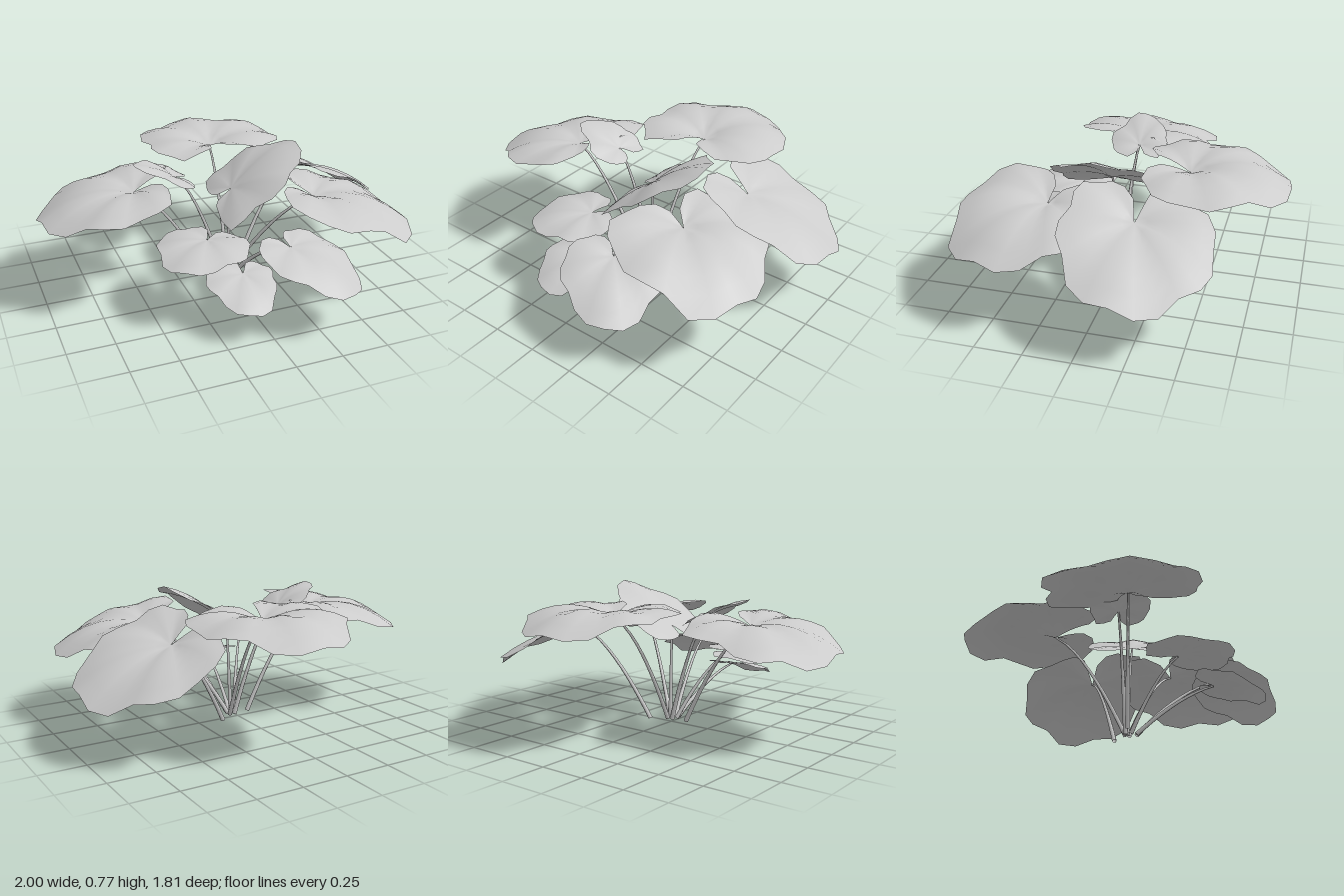
import * as THREE from 'three';

const SPREAD = THREE.MathUtils.degToRad(163); // the blade stops short of its notch
const SEGMENTS = 24, RINGS = 6;
const material = new THREE.MeshStandardMaterial({ color: 0xcccccc, side: THREE.DoubleSide });

// Heart-shaped blade: radii run round the stalk from one side of the notch to the other.
function bladeGeometry({ at, heading, slope, rise = 0.25, droop = 0.4, radii }) {
  const positions = [...at], indices = [];
  const size = Math.max(...radii);
  const perStep = SEGMENTS / (radii.length - 1);
  for (let s = 0; s <= SEGMENTS; s++) {
    const i = Math.min(Math.floor(s / perStep), radii.length - 2);
    const edge = THREE.MathUtils.lerp(radii[i], radii[i + 1], s / perStep - i) * (s % 3 ? 1.02 : 0.96);
    const turn = THREE.MathUtils.lerp(-SPREAD, SPREAD, s / SEGMENTS);
    const angle = THREE.MathUtils.degToRad(heading) + turn;
    for (let k = 1; k <= RINGS; k++) {
      const r = edge * k / RINGS;
      const dx = r * Math.cos(angle), dz = r * Math.sin(angle);
      // tilt, cupped middle, drooping rim and soft pleats between the veins
      const y = at[1] + slope[0] * dx + slope[1] * dz + rise * r - droop * r * r / size
        + 0.035 * r * Math.cos(turn * 7);
      positions.push(at[0] + dx, y, at[2] + dz);
    }
  }
  for (let s = 0; s < SEGMENTS; s++) {
    const a = 1 + s * RINGS, b = a + RINGS;
    indices.push(0, b, a);
    for (let k = 0; k < RINGS - 1; k++) {
      indices.push(a + k, b + k, b + k + 1, a + k, b + k + 1, a + k + 1);
    }
  }
  const geometry = new THREE.BufferGeometry();
  geometry.setAttribute('position', new THREE.Float32BufferAttribute(positions, 3));
  geometry.setIndex(indices);
  geometry.computeVertexNormals();
  return geometry;
}

// Arching stalk that thins towards the blade.
function stalkGeometry(base, at) {
  const start = new THREE.Vector3(base[0], 0.01, base[1]);
  const end = new THREE.Vector3(...at);
  const bend = start.clone().lerp(end, 0.56).setY(at[1] * 0.84);
  const curve = new THREE.QuadraticBezierCurve3(start, bend, end);
  const steps = 10, sides = 6;
  const geometry = new THREE.TubeGeometry(curve, steps, 0.013, sides);
  const p = geometry.attributes.position, v = new THREE.Vector3();
  for (let i = 0; i < p.count; i++) {
    const t = Math.floor(i / (sides + 1)) / steps;
    const c = curve.getPointAt(t);
    v.fromBufferAttribute(p, i).sub(c).multiplyScalar(1 - 0.55 * t).add(c);
    p.setXYZ(i, v.x, Math.max(v.y, 0), v.z);
  }
  return geometry;
}

export function createModel() {
  const plant = new THREE.Group();
  plant.name = 'leafyPlant';

  function addLeaf(name, leaf) {
    const group = new THREE.Group();
    group.name = name;
    const blade = new THREE.Mesh(bladeGeometry(leaf), material);
    blade.name = 'blade';
    const stalk = new THREE.Mesh(stalkGeometry(leaf.base, leaf.at), material);
    stalk.name = 'stalk';
    group.add(blade, stalk);
    plant.add(group);
  }

  // Large outer leaves
  addLeaf('backLeaf', {
    base: [0.04, 0.02], at: [0.08, 0.63, -0.38], heading: -90, slope: [0, -0.03], rise: 0.55, droop: 0.68,
    radii: [0.21, 0.34, 0.36, 0.36, 0.42, 0.48, 0.55, 0.49, 0.45, 0.43, 0.39, 0.3, 0.17],
  });
  addLeaf('backLeftLeaf', {
    base: [0.12, -0.04], at: [0.5, 0.52, -0.18], heading: 0, slope: [-0.4, 0.18], rise: 0.4, droop: 0.41,
    radii: [0.16, 0.24, 0.36, 0.43, 0.47, 0.49, 0.52, 0.47, 0.4, 0.33, 0.3, 0.22, 0.11],
  });
  addLeaf('frontLeftLeaf', {
    base: [0.04, 0.04], at: [0.42, 0.53, 0.3], heading: 25, slope: [-0.2, 0], rise: 0.5, droop: 0.61,
    radii: [0.1, 0.28, 0.28, 0.34, 0.42, 0.46, 0.53, 0.52, 0.45, 0.43, 0.36, 0.22, 0.1],
  });
  addLeaf('rightLeaf', {
    base: [-0.08, 0.03], at: [-0.5, 0.59, 0.03], heading: 180, slope: [0.11, 0.02], rise: 0.42, droop: 0.55,
    radii: [0.1, 0.2, 0.33, 0.37, 0.41, 0.45, 0.51, 0.5, 0.5, 0.41, 0.43, 0.31, 0.2],
  });

  // Tilted young leaves in the middle
  addLeaf('centreLeaf', {
    base: [0.03, 0.03], at: [0.04, 0.54, 0.06], heading: 3, slope: [0.73, 0], rise: 0.24, droop: 0.39,
    radii: [0.08, 0.13, 0.23, 0.26, 0.3, 0.31, 0.385, 0.36, 0.34, 0.29, 0.31, 0.15, 0.09],
  });
  addLeaf('smallUpperLeaf', {
    base: [0.01, 0.02], at: [-0.25, 0.62, -0.02], heading: 165, slope: [-0.55, 0], rise: 0.27,
    radii: [0.05, 0.1, 0.13, 0.16, 0.18, 0.17, 0.25, 0.21, 0.17, 0.16, 0.15, 0.14, 0.08],
  });

  // Low leaves at the front
  addLeaf('frontRightLeaf', {
    base: [0.0, 0.05], at: [-0.19, 0.38, 0.3], heading: 130, slope: [0, 0.03],
    radii: [0.08, 0.13, 0.2, 0.25, 0.28, 0.29, 0.34, 0.3, 0.26, 0.26, 0.2, 0.17, 0.1],
  });
  addLeaf('lowestLeaf', {
    base: [0.01, 0.08], at: [-0.07, 0.26, 0.5], heading: 105, slope: [-0.05, -0.2],
    radii: [0.08, 0.12, 0.15, 0.16, 0.19, 0.25, 0.29, 0.24, 0.22, 0.2, 0.17, 0.12, 0.07],
  });
  addLeaf('frontLeaf', {
    base: [0.03, 0.08], at: [0.17, 0.39, 0.55], heading: 58, slope: [-0.18, -0.17], rise: 0.35, droop: 0.54,
    radii: [0.06, 0.12, 0.17, 0.24, 0.3, 0.35, 0.4, 0.33, 0.29, 0.25, 0.2, 0.15, 0.07],
  });

  return plant;
}
